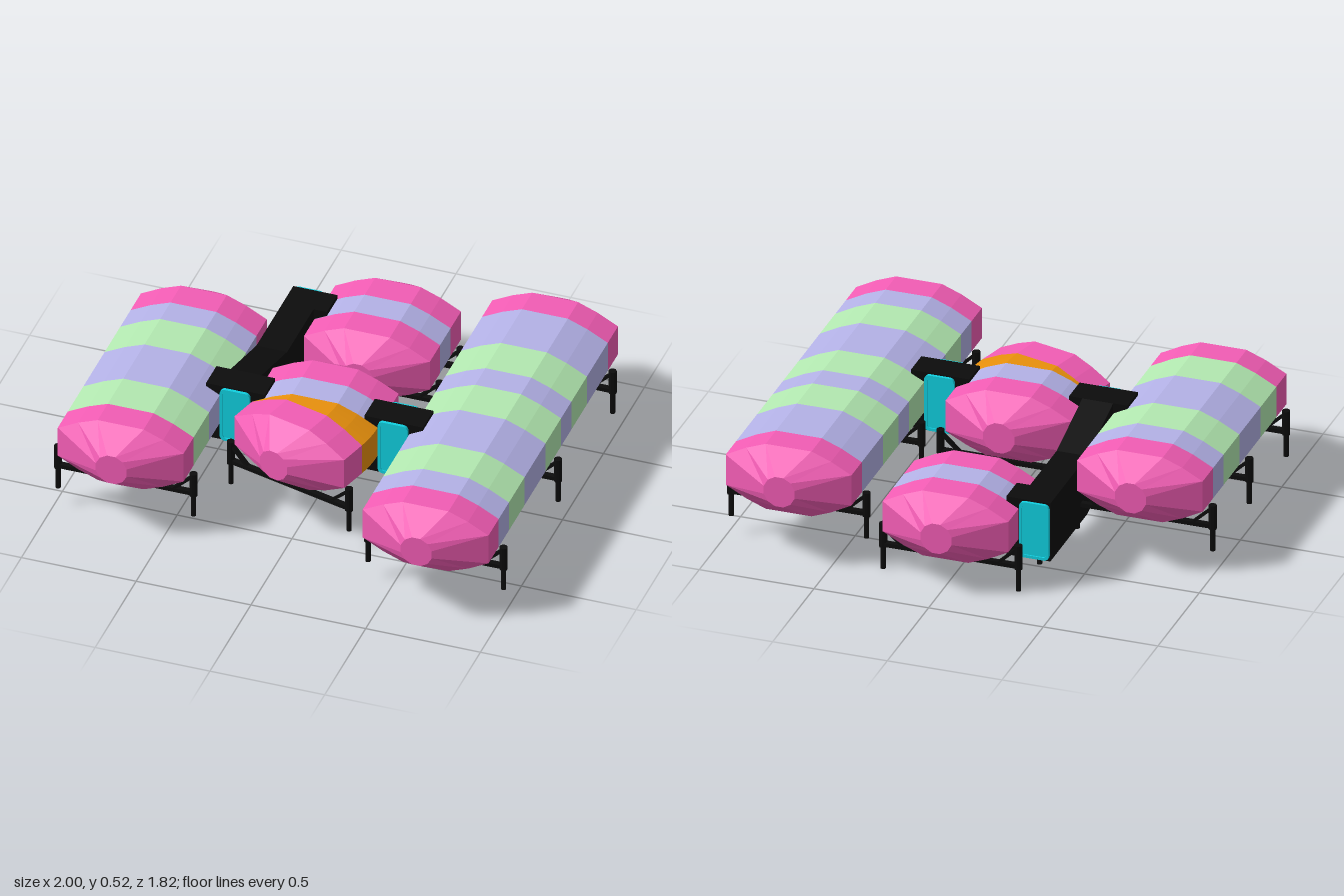
import * as THREE from 'three';

const mat = (color) => new THREE.MeshStandardMaterial({ color, flatShading: true });
const PINK = mat(0xf25cb4), LAV = mat(0xb3b1e6), GREEN = mat(0xb2e8b0);
const ORANGE = mat(0xe8900c), CYAN = mat(0x10d0e0), BLACK = mat(0x0c0c0c);
const HALF = 0.274, CAP = 0.115, TILT = Math.PI / 12;

// Hull cross-section: one quadrant mirrored into twelve corners
const quad = [[HALF, 0.07], [0.185, 0.117], [0.1, 0.15]];
const section = [
  ...quad,
  ...quad.map(([x, y]) => [-x, y]).reverse(),
  ...quad.map(([x, y]) => [-x, -y]),
  ...quad.map(([x, y]) => [x, -y]).reverse(),
];
const hullRing = (z) => section.map(([x, y]) => [x, y, z]);
const discRing = (z, r) => section.map((_, i) => {
  const a = (i + 0.5) * Math.PI / 6;
  return [r * Math.cos(a), r * Math.sin(a), z];
});

// Skin between successive rings, ordered towards +z
function loft(rings, material, name) {
  const pos = [];
  for (let i = 0; i < rings.length - 1; i++) {
    for (let j = 0; j < section.length; j++) {
      const k = (j + 1) % section.length;
      const a = rings[i][j], b = rings[i][k], c = rings[i + 1][k], d = rings[i + 1][j];
      pos.push(...a, ...b, ...c, ...a, ...c, ...d);
    }
  }
  const geo = new THREE.BufferGeometry();
  geo.setAttribute('position', new THREE.Float32BufferAttribute(pos, 3));
  geo.computeVertexNormals();
  const mesh = new THREE.Mesh(geo, material);
  mesh.name = name;
  return mesh;
}

const frontCap = (z) => loft([hullRing(z), discRing(z + CAP, 0.07), discRing(z + CAP, 0)], PINK, 'frontCap');
const backCap = (z) => loft([discRing(z - CAP, 0), discRing(z - CAP, 0.07), hullRing(z)], PINK, 'backCap');

// Coloured hull bands between the given z stations
function bands(group, stations, materials) {
  materials.forEach((m, i) =>
    group.add(loft([hullRing(stations[i]), hullRing(stations[i + 1])], m, 'hullBand')));
}

function box(w, h, d, x, y, z, name, material = BLACK) {
  const mesh = new THREE.Mesh(new THREE.BoxGeometry(w, h, d), material);
  mesh.position.set(x, y, z);
  mesh.name = name;
  return mesh;
}

// Two legs joined by a beam under the hull, heights relative to the hull centre
function support(x, z, turn = 0) {
  const g = new THREE.Group();
  g.name = 'supportFrame';
  g.add(box(0.58, 0.018, 0.025, 0, -0.161, 0, 'crossBeam'));
  for (const s of [-1, 1]) {
    const post = new THREE.Mesh(new THREE.CylinderGeometry(0.017, 0.017, 0.11, 10), BLACK);
    post.position.set(s * 0.295, -0.12, 0);
    post.name = 'legSleeve';
    const leg = new THREE.Mesh(new THREE.CylinderGeometry(0.011, 0.011, 0.11, 10), BLACK);
    leg.position.set(s * 0.295, -0.22, 0);
    leg.name = 'leg';
    const brace = box(0.1, 0.012, 0.02, s * 0.247, -0.122, 0, 'brace');
    brace.rotation.z = s * 0.75;
    g.add(post, leg, brace);
  }
  g.position.set(x, 0, z);
  g.rotation.y = turn;
  return g;
}

function module(name, x, y) {
  const g = new THREE.Group();
  g.name = name;
  g.position.set(x, y, 0);
  return g;
}

function roundedRect(Type, w, h, r) {
  const p = new Type();
  const x = w / 2 - r, y = h / 2 - r;
  p.absarc(x, y, r, 0, Math.PI / 2);
  p.absarc(-x, y, r, Math.PI / 2, Math.PI);
  p.absarc(-x, -y, r, Math.PI, Math.PI * 1.5);
  p.absarc(x, -y, r, Math.PI * 1.5, Math.PI * 2);
  return p;
}

// Airlock door: rounded frame around a recessed panel
function door(x, y, z, turn = 0) {
  const g = new THREE.Group();
  g.name = 'door';
  const shape = roundedRect(THREE.Shape, 0.13, 0.255, 0.022);
  shape.holes.push(roundedRect(THREE.Path, 0.105, 0.23, 0.015));
  const frame = new THREE.Mesh(
    new THREE.ExtrudeGeometry(shape, { depth: 0.014, bevelEnabled: false, curveSegments: 4 }), CYAN);
  frame.name = 'doorFrame';
  g.add(frame, box(0.11, 0.235, 0.008, 0, 0, 0.004, 'doorPanel', CYAN));
  g.position.set(x, y, z);
  g.rotation.y = turn;
  return g;
}

export function createModel() {
  const model = new THREE.Group();
  model.name = 'habitat';
  const HIGH = 0.372, LOW = 0.28;

  // Long module on the left
  const left = module('leftModule', 0.686, HIGH);
  bands(left, [-0.79, -0.665, -0.41, -0.22, -0.095, 0.095, 0.35, 0.54, 0.665, 0.79],
    [PINK, LAV, GREEN, LAV, GREEN, LAV, GREEN, LAV, PINK]);
  left.add(backCap(-0.79), frontCap(0.79));
  for (const z of [-0.665, 0, 0.665]) left.add(support(0, z));

  // Shorter module on the right
  const right = module('rightModule', -0.688, HIGH);
  bands(right, [-0.352, -0.225, -0.1, 0.092, 0.35, 0.54, 0.663], [PINK, LAV, GREEN, LAV, GREEN, PINK]);
  right.add(backCap(-0.352), frontCap(0.663));
  for (const z of [-0.29, 0.155, 0.6]) right.add(support(0, z));

  // Central module with a bent nose
  const centre = module('centralModule', 0, HIGH);
  bands(centre, [-0.035, 0.092, 0.22], [PINK, LAV]);
  centre.add(backCap(-0.035), support(0, -0.035));
  const wedge = [0, 1, 2, 3, 4].map((i) => {
    const a = TILT * i / 4;
    return section.map(([x, y]) => [-HALF + (x + HALF) * Math.cos(a), y, 0.22 + (x + HALF) * Math.sin(a)]);
  });
  centre.add(loft(wedge, ORANGE, 'bendWedge'));
  const pivot = new THREE.Group();
  pivot.name = 'bentNose';
  pivot.position.set(-HALF, 0, 0.22);
  pivot.rotation.y = -TILT;
  const nose = module('nose', HALF, 0);
  bands(nose, [0, 0.127], [PINK]);
  nose.add(frontCap(0.127), support(0, 0.122));
  pivot.add(nose);
  centre.add(pivot);

  // Lower module at the back
  const back = module('backModule', 0, LOW);
  bands(back, [-0.795, -0.668, -0.54, -0.415], [PINK, LAV, PINK]);
  back.add(backCap(-0.795), frontCap(-0.415), support(0, -0.73), support(0, -0.475));

  // Sloping corridor that steps down to the lower module
  const profile = new THREE.Shape([
    [0.22, 0.222], [0.22, 0.488], [0.09, 0.488], [-0.22, 0.398],
    [-0.67, 0.398], [-0.67, 0.13], [-0.22, 0.13], [0.09, 0.222],
  ].map(([z, y]) => new THREE.Vector2(z, y)));
  const corridor = new THREE.Mesh(
    new THREE.ExtrudeGeometry(profile, { depth: 0.134, bevelEnabled: false }), BLACK);
  corridor.rotation.y = -Math.PI / 2;
  corridor.position.x = -0.278;
  corridor.name = 'corridor';

  model.add(left, right, centre, back, corridor,
    box(0.255, 0.266, 0.128, -0.347, 0.355, 0.156, 'rightConnector'),
    box(0.255, 0.266, 0.128, 0.343, 0.355, 0.156, 'leftConnector'),
    box(0.19, 0.268, 0.128, -0.315, 0.264, -0.606, 'backConnector'),
    door(-0.345, 0.355, 0.22), door(-0.345, 0.264, -0.67, Math.PI),
    door(0.343, 0.355, 0.22), door(0.343, 0.355, 0.092, Math.PI));
  return model;
}
